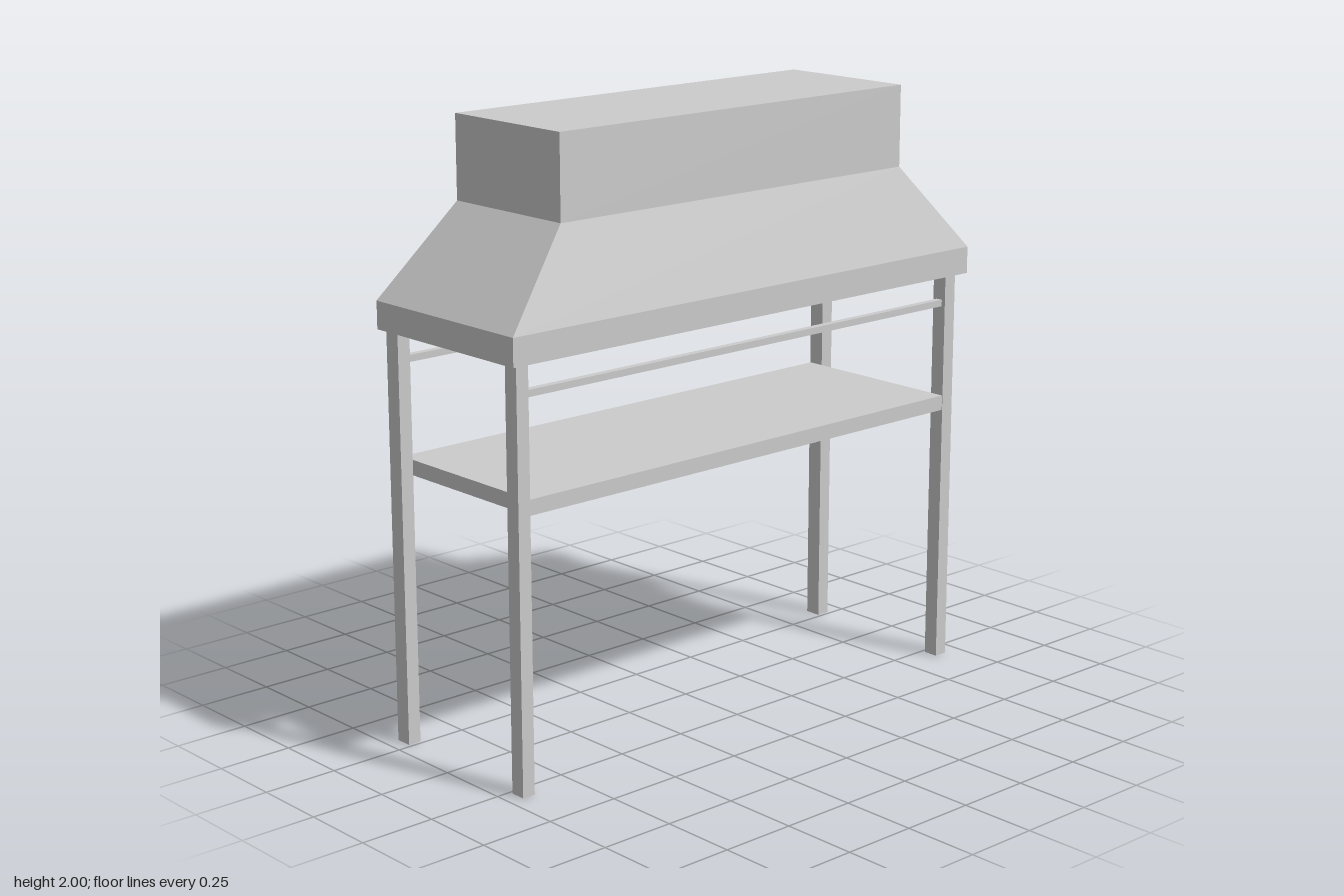
import * as THREE from 'three';

const material = new THREE.MeshStandardMaterial({ color: 0xcccccc, flatShading: true });

// Box given by its lower and upper limits on each axis
function box(name, [x0, x1], [y0, y1], [z0, z1]) {
  const geometry = new THREE.BoxGeometry(x1 - x0, y1 - y0, z1 - z0);
  geometry.translate((x0 + x1) / 2, (y0 + y1) / 2, (z0 + z1) / 2);
  const mesh = new THREE.Mesh(geometry, material);
  mesh.name = name;
  return mesh;
}

// Closed solid through rectangular rings [half width, half depth, height]
function ringSolid(rings) {
  const positions = [];
  const loops = rings.map(([w, d, y]) => [[-w, y, d], [w, y, d], [w, y, -d], [-w, y, -d]]);
  const quad = (a, b, c, d) => positions.push(...a, ...b, ...c, ...a, ...c, ...d);
  quad(...loops[0]);
  for (let i = 0; i < loops.length - 1; i++) {
    const upper = loops[i], lower = loops[i + 1];
    for (let k = 0; k < 4; k++) {
      const n = (k + 1) % 4;
      quad(lower[k], lower[n], upper[n], upper[k]);
    }
  }
  quad(...loops[loops.length - 1].slice().reverse());
  const geometry = new THREE.BufferGeometry();
  geometry.setAttribute('position', new THREE.Float32BufferAttribute(positions, 3));
  geometry.computeVertexNormals();
  return geometry;
}

export function createModel() {
  const model = new THREE.Group();
  model.name = 'hoodedTable';

  // Hood: flue box, sloped skirt, rim and the recess underneath
  const hood = new THREE.Mesh(ringSolid([
    [0.723, 0.248, 2],
    [0.723, 0.248, 1.73],
    [0.976, 0.332, 1.44],
    [0.976, 0.332, 1.35],
    [0.865, 0.295, 1.35],
    [0.865, 0.295, 1.55],
  ]), material);
  hood.name = 'hood';
  model.add(hood);

  // Four legs and the thin rails joining them front and back
  const legXs = [[-0.952, -0.907], [0.89, 0.937]];
  const legZs = [[-0.319, -0.262], [0.262, 0.314]];
  for (const z of legZs) {
    const side = z[0] > 0 ? 'front' : 'back';
    legXs.forEach((x, i) => model.add(box(side + (i ? 'Left' : 'Right') + 'Leg', x, [0, 1.35], z)));
    const middle = (z[0] + z[1]) / 2;
    model.add(box(side + 'Rail', [-0.907, 0.89], [1.243, 1.265], [middle - 0.012, middle + 0.012]));
  }

  // Shelf between the legs
  model.add(box('shelf', [-0.907, 0.89], [0.885, 0.935], [-0.317, 0.312]));
  return model;
}
